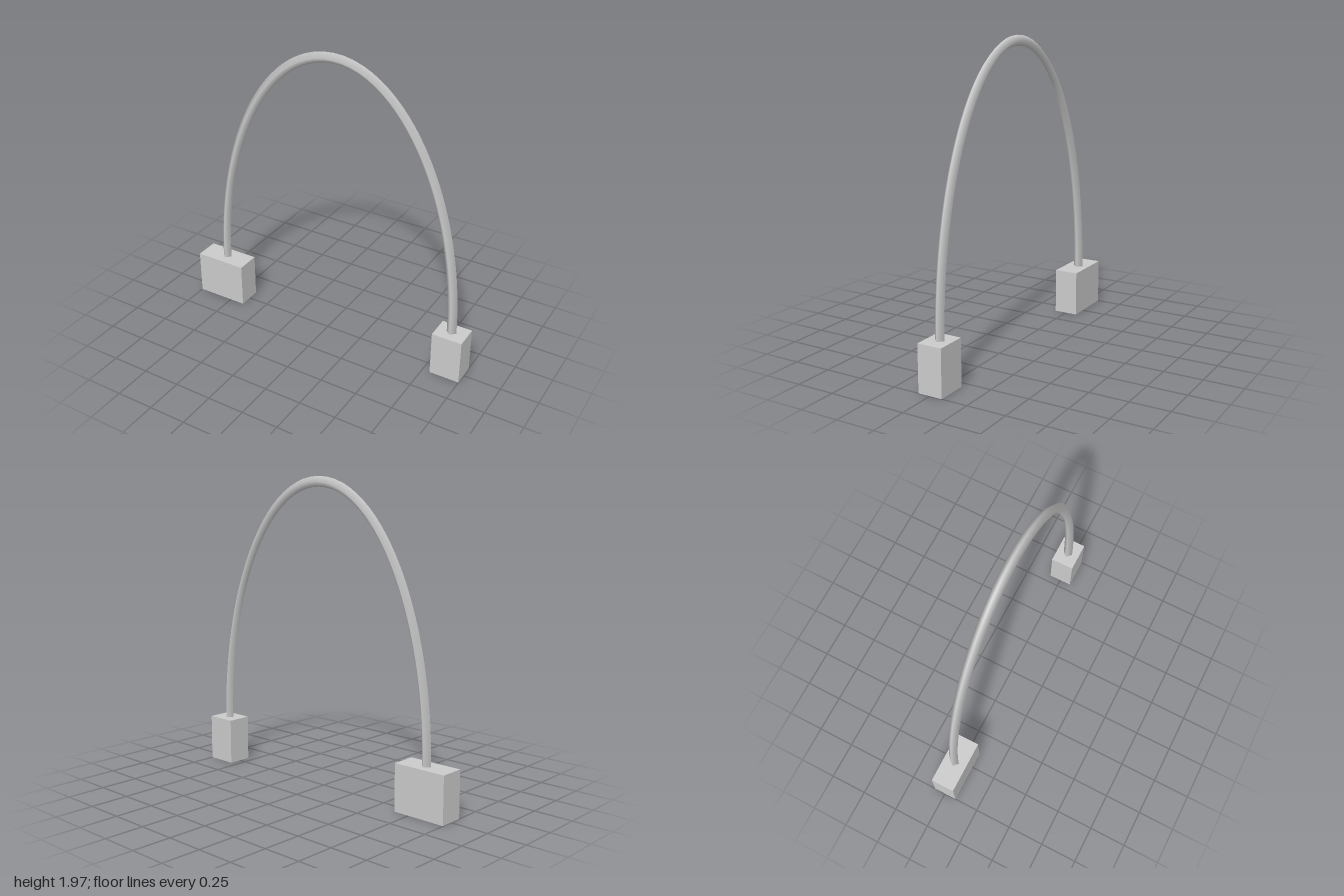
import * as THREE from 'three';

const material = new THREE.MeshStandardMaterial({ color: 0xcccccc });

// Half ellipse from the left foot over the top to the right foot
class ArchCurve extends THREE.Curve {
  getPoint(t, target = new THREE.Vector3()) {
    const a = Math.PI * t;
    return target.set(0.038 - 0.858 * Math.cos(a), 0.3 + 1.637 * Math.sin(a), -0.003);
  }
}

function addBlock(group, name, x0, x1, z) {
  const height = 0.3;
  const mesh = new THREE.Mesh(new THREE.BoxGeometry(x1 - x0, height, 0.16), material);
  mesh.name = name;
  mesh.position.set((x0 + x1) / 2, height / 2, z);
  group.add(mesh);
}

export function createModel() {
  const group = new THREE.Group();
  group.name = 'arch';

  // Four-sided rod with smooth normals, ridges facing outward and sideways
  const rod = new THREE.Mesh(new THREE.TubeGeometry(new ArchCurve(), 64, 0.033, 4), material);
  rod.name = 'archRod';
  group.add(rod);

  // Foot blocks, the wide one on -x
  addBlock(group, 'wideFootBlock', -1, -0.645, 0.002);
  addBlock(group, 'narrowFootBlock', 0.8, 1, -0.002);

  return group;
}
